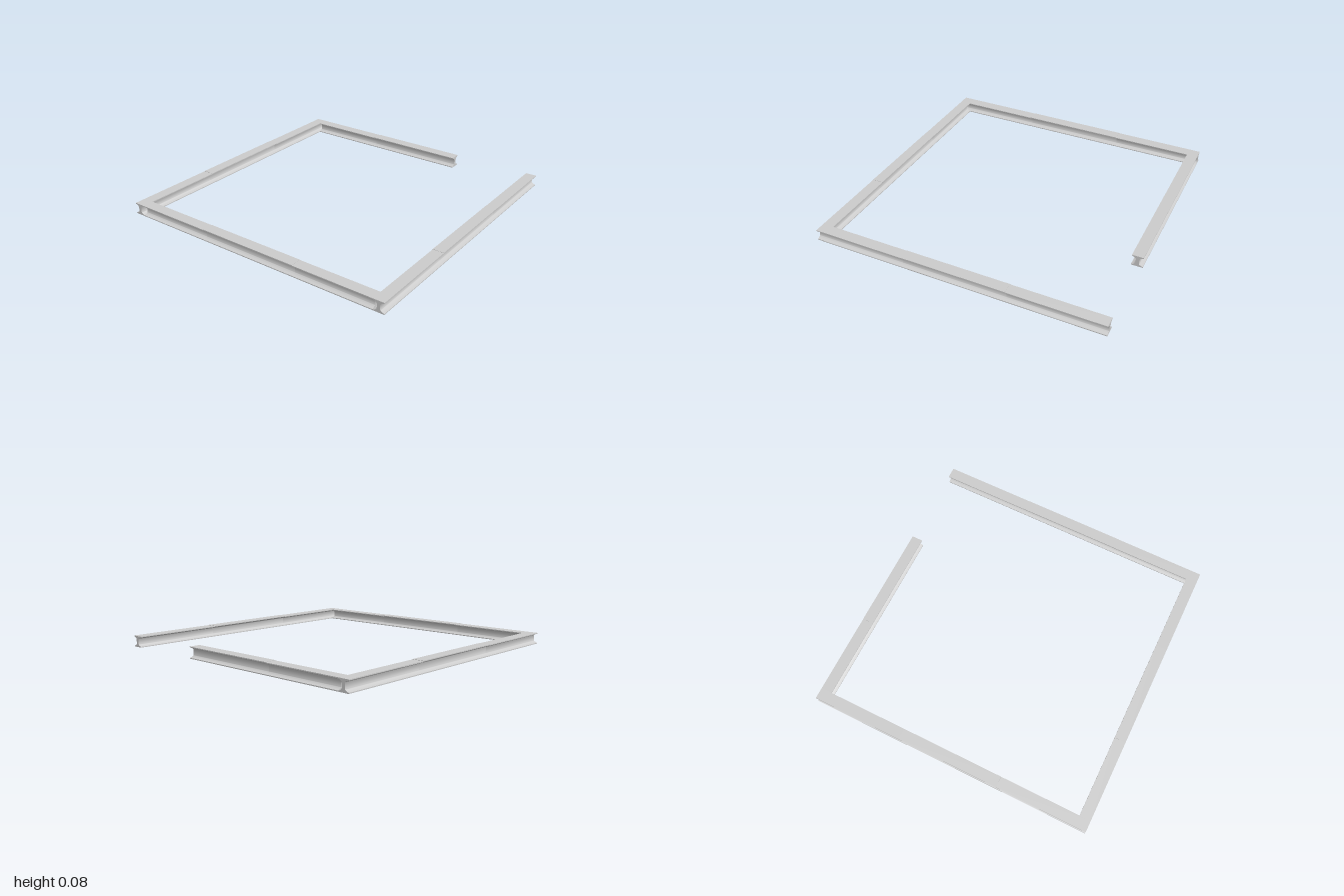
import * as THREE from 'three';
import { toCreasedNormals } from 'three/addons/utils/BufferGeometryUtils.js';

const W = 0.077;      // beam width
const H = 0.077;      // beam height
const JOINT = 0.36;   // where the beam lengths meet

// I-beam section: thin flange tips curving into a slim web
function beamProfile(height) {
  const w = W / 2, tip = 0.006, web = 0.011;
  const s = new THREE.Shape();
  s.moveTo(-w, 0);
  s.lineTo(w, 0);
  s.lineTo(w, tip);
  s.quadraticCurveTo(web, 0.013, web, 0.025);
  s.lineTo(web, height - 0.025);
  s.quadraticCurveTo(web, height - 0.013, w, height - tip);
  s.lineTo(w, height);
  s.lineTo(-w, height);
  s.lineTo(-w, height - tip);
  s.quadraticCurveTo(-web, height - 0.013, -web, height - 0.025);
  s.lineTo(-web, 0.025);
  s.quadraticCurveTo(-web, 0.013, -w, tip);
  s.closePath();
  return s;
}

export function createModel() {
  const model = new THREE.Group();
  model.name = 'beamFrame';
  const steel = new THREE.MeshStandardMaterial({ color: 0xcccccc });

  // A beam made of lengths between the given stops; the middle one sits a hair proud
  function addBeam(name, stops, offset, alongX) {
    const beam = new THREE.Group();
    beam.name = name;
    for (let i = 0; i < stops.length - 1; i++) {
      const height = i === 1 ? H + 0.002 : H;
      const extruded = new THREE.ExtrudeGeometry(beamProfile(height), {
        depth: stops[i + 1] - stops[i], bevelEnabled: false, curveSegments: 6,
      });
      extruded.translate(0, 0, stops[i]);
      const mesh = new THREE.Mesh(toCreasedNormals(extruded, 0.6), steel);
      mesh.name = name + 'Length' + (i + 1);
      beam.add(mesh);
    }
    if (alongX) {
      beam.rotation.y = Math.PI / 2;
      beam.position.z = offset;
    } else {
      beam.position.x = offset;
    }
    model.add(beam);
  }

  const centre = 1 - W / 2;
  const inner = 1 - W;
  // Full-length side beams, with the front and back beams butted between them
  addBeam('leftBeam', [-1, -JOINT, JOINT, 1], centre, false);
  addBeam('rightBeam', [-1, -JOINT, JOINT, 1], -centre, false);
  addBeam('frontBeam', [-inner, -JOINT, JOINT, inner], centre, true);
  // The back beam stops short, leaving an opening at the left
  addBeam('backBeam', [-inner, -JOINT, JOINT], -centre, true);

  return model;
}
